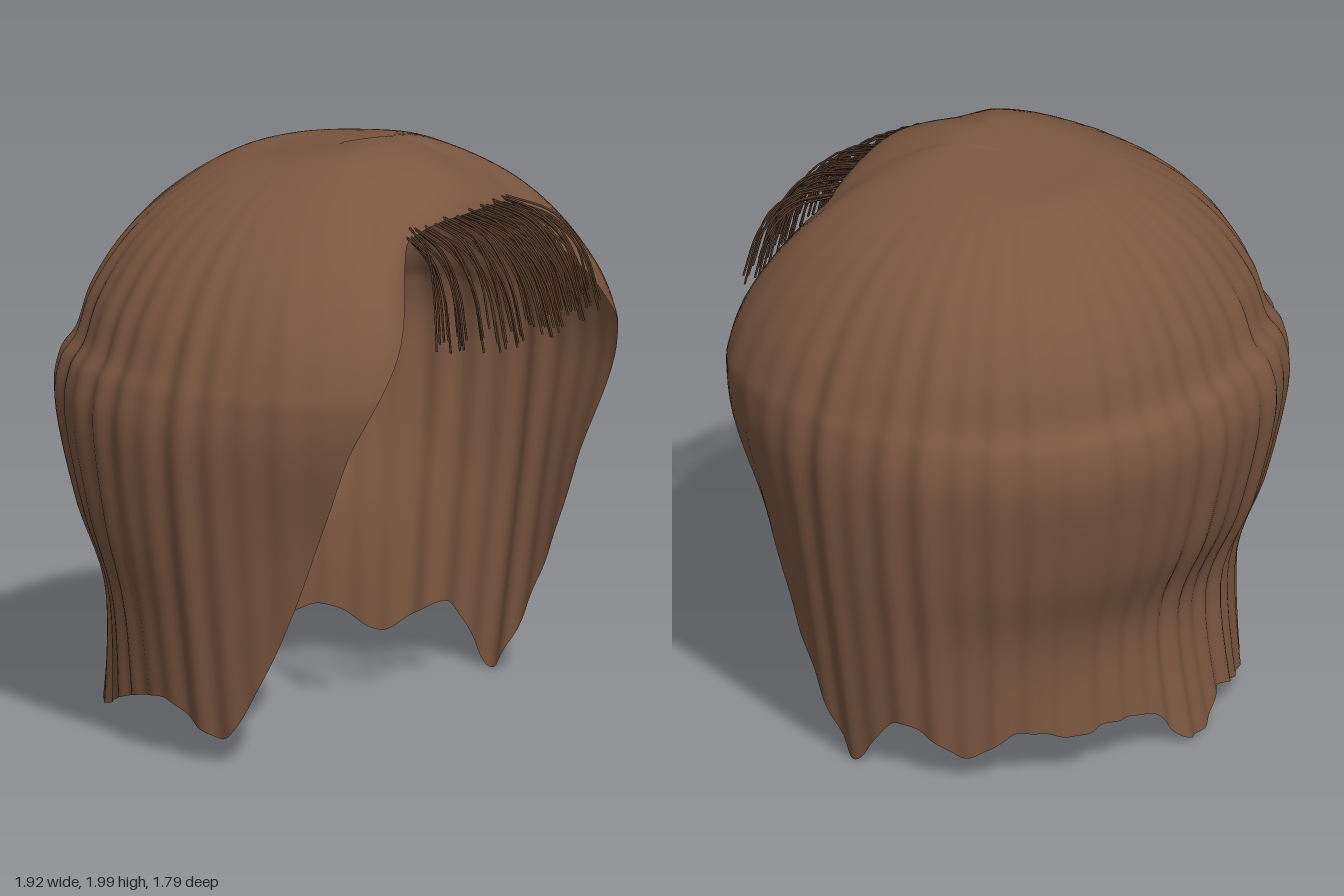
import * as THREE from 'three';
import { mergeGeometries } from 'three/addons/utils/BufferGeometryUtils.js';

// Smooth interpolation through [position, value] keys
function interp(keys, a) {
  let i = 0;
  while (i < keys.length - 2 && a > keys[i + 1][0]) i++;
  const slope = (p, q) => (q[1] - p[1]) / (q[0] - p[0]);
  const k0 = keys[i], k1 = keys[i + 1], h = k1[0] - k0[0], t = (a - k0[0]) / h;
  const m0 = i > 0 ? slope(keys[i - 1], k1) : 0;
  const m1 = i < keys.length - 2 ? slope(k0, keys[i + 2]) : 0;
  const t2 = t * t, t3 = t2 * t;
  return (2 * t3 - 3 * t2 + 1) * k0[1] + (t3 - 2 * t2 + t) * h * m0
    + (3 * t2 - 2 * t3) * k1[1] + (t3 - t2) * h * m1;
}

// Heights from crown to hem, and the radius at each height
// for angles from the back (0) round to the front (180)
const heights = [1.97, 1.97, 1.92, 1.81, 1.67, 1.5, 1.35, 1.26, 1.1, .77, .45, -.03];
const back = [0, .2, .35, .52, .66, .76, .81, .87, .885, .81, .69, .76];
const backCorner = [0, .21, .37, .56, .71, .82, .87, .925, .94, .87, .77, .78];
const side = [0, .22, .38, .58, .735, .845, .905, .935, .95, .915, .86, .78];
const frontLobe = [0, .24, .44, .63, .78, .9, .96, .97, .95, .86, .8, .75];
const lobeEdge = [0, .23, .42, .58, .73, .84, .88, .88, .88, .85, .8, .75];
const brow = [0, .2, .41, .57, .63, .65, .66, .68, .7, .71, .72, .74];
const front = [0, .22, .45, .55, .57, .58, .6, .6, .6, .6, .6, .6];
const angles = [0, 45, 90, 130, 142, 150, 180];
const radii = [back, backCorner, side, frontLobe, lobeEdge, brow, front];
const radiusKeys = heights.map((_, k) => angles.map((a, i) => [a, radii[i][k]]));

// Front opening edge, shared by both sides, and the ragged hem between the locks
const opening = [[108, .3], [116, .55], [124, .9], [129, 1.15], [140, 1.47], [145, 1.65], [150, 1.77], [180, 1.81]];
const rightHem = [[-99, .1], [-93, .11], [-82, .2], [-70, .18], [-60, .14], [-45, .07], [-30, .06], [-16, .1], [-8, .02]];
const leftHem = [[0, .01], [5, .04], [12, .14], [25, .17], [38, .15], [52, .18], [65, .09], [73, .15], [82, .2], [89, .1], [95, .005], [101, .1]];
const hem = opening.map(([a, y]) => [-a, y]).reverse().concat(rightHem, leftHem, opening);

function hairShell() {
  const cols = 300, rows = 64, pos = [], index = [];
  for (let i = 0; i < cols; i++) {
    const deg = -180 + 360 * i / cols, a = deg * Math.PI / 180, abs = Math.abs(deg);
    // the crown tilts up towards the front
    const curve = new THREE.SplineCurve(heights.map((y, k) => new THREE.Vector2(
      interp(radiusKeys[k], abs), k === 1 ? y - .028 * Math.cos(a) : y)));
    // find where this column meets the hem
    const edge = interp(hem, deg);
    let lo = .1, hi = 1;
    for (let n = 0; n < 24; n++) {
      const mid = (lo + hi) / 2;
      if (curve.getPoint(mid).y > edge) lo = mid; else hi = mid;
    }
    // soft vertical strands, calmer on the front locks
    const calm = 1 - .75 * THREE.MathUtils.smoothstep(abs, 95, 125);
    const wave = calm * (.007 * Math.sin(46 * a) + .004 * Math.sin(31 * a + 1) + .003 * Math.sin(19 * a + 2));
    for (let j = 0; j <= rows; j++) {
      const s = hi * j / rows, p = curve.getPoint(s);
      const r = p.x + wave * THREE.MathUtils.smoothstep(s, .1, .6);
      pos.push(r * Math.sin(a), p.y, -r * Math.cos(a));
    }
  }
  for (let i = 0; i < cols; i++) for (let j = 0; j < rows; j++) {
    const p = i * (rows + 1) + j, q = ((i + 1) % cols) * (rows + 1) + j;
    if (j > 0) index.push(p, q, p + 1);
    index.push(q, q + 1, p + 1);
  }
  const g = new THREE.BufferGeometry();
  g.setAttribute('position', new THREE.Float32BufferAttribute(pos, 3));
  g.setIndex(index);
  g.computeVertexNormals();
  return g;
}

let seed = 7;
const rand = () => (seed = (seed * 16807) % 2147483647) / 2147483647;
const jitter = size => (rand() - .5) * size;

// One clump of fine strands arching forward and down from the hairline
function fringeClump(u) {
  const strands = [];
  for (let n = 0; n < 5; n++) {
    const x0 = u * .28 + jitter(.03), x1 = u * .43 + jitter(.05);
    const drop = jitter(.08), inset = .1 * u * u + .1 * rand() * rand();
    const y0 = 1.83 - .05 * rand() - .02 * u * u;
    const path = new THREE.CatmullRomCurve3([
      new THREE.Vector3(x0, y0, .5),
      new THREE.Vector3(x0 + (x1 - x0) * .45, y0 - .05, .69 - inset * .4),
      new THREE.Vector3(x0 + (x1 - x0) * .8, 1.63 + drop * .5, .82 - inset * .8),
      new THREE.Vector3(x1, 1.46 + drop, .885 - inset),
    ]);
    strands.push(new THREE.TubeGeometry(path, 12, .004, 5));
  }
  return mergeGeometries(strands);
}

export function createModel() {
  const group = new THREE.Group();
  group.name = 'hair';
  const brown = new THREE.MeshStandardMaterial({ color: 0x7a5640, side: THREE.DoubleSide });
  brown.name = 'brown';
  const darkBrown = new THREE.MeshStandardMaterial({ color: 0x553a29 });
  darkBrown.name = 'dark brown';

  const shell = new THREE.Mesh(hairShell(), brown);
  shell.name = 'hairShell';
  group.add(shell);

  // fringe across the forehead
  const fringe = new THREE.Group();
  fringe.name = 'fringe';
  const count = 14;
  for (let i = 0; i < count; i++) {
    const clump = new THREE.Mesh(fringeClump(-1 + 2 * i / (count - 1)), darkBrown);
    clump.name = 'fringeClump';
    fringe.add(clump);
  }
  group.add(fringe);
  return group;
}
